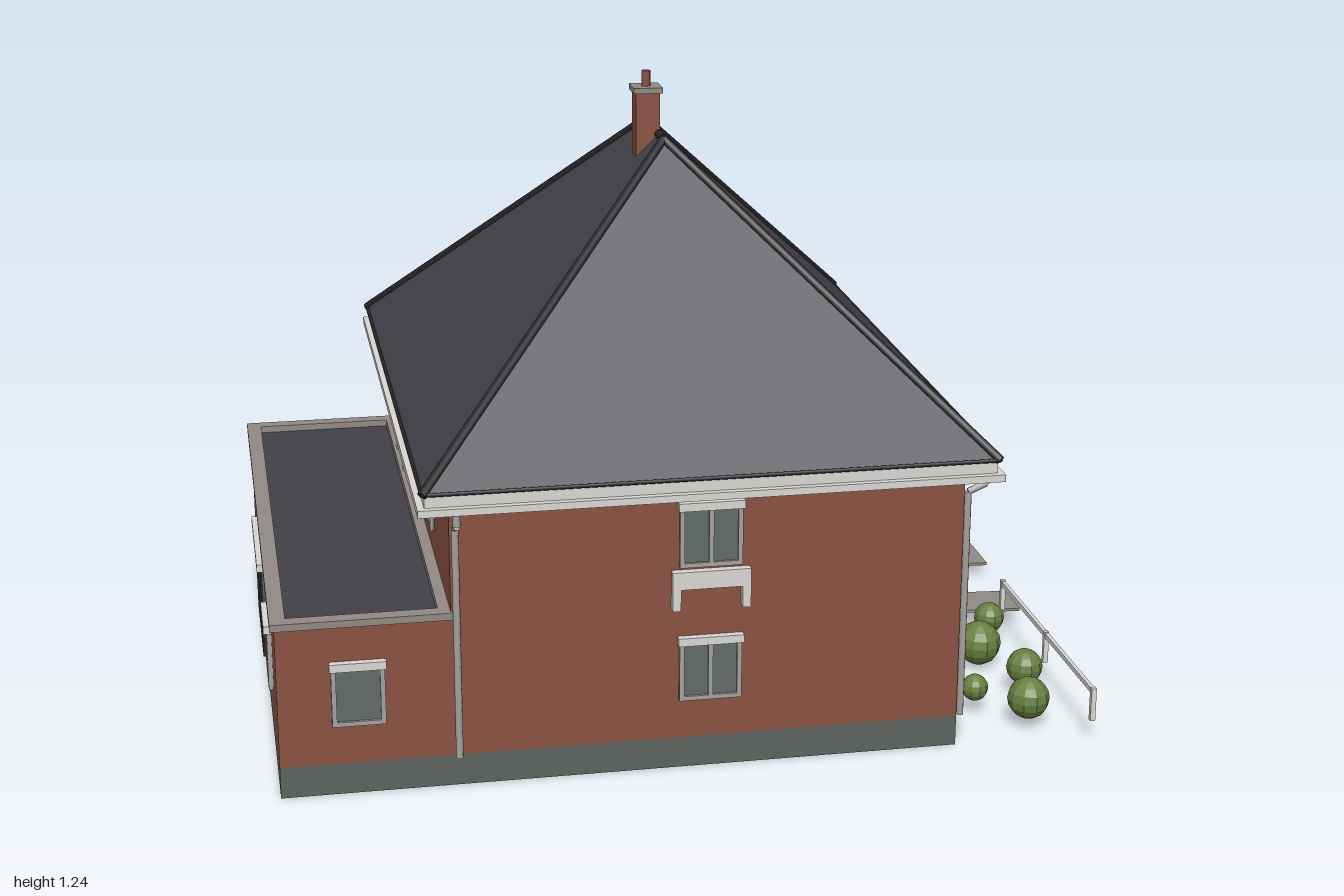
import * as THREE from 'three';

const mat = (name, color, extra = {}) => Object.assign(new THREE.MeshStandardMaterial({ color, ...extra }), { name });
const DS = { side: THREE.DoubleSide };

export function createModel() {
  const brick = mat('brick', 0x8b5242, DS), slate = mat('roof slate', 0x434148, DS);
  const dark = mat('dark trim', 0x252528), white = mat('white trim', 0xdad8d4);
  const stone = mat('plinth grey', 0x5f635f, DS), glass = mat('glass', 0x626b68);
  const paving = mat('paving', 0x928b85), green = mat('bush green', 0x66803f, { flatShading: true });
  const shutter = mat('shutter grey', 0xb5b2b0), frameGrey = mat('frame grey', 0xa5a39f);

  const root = new THREE.Group();
  root.name = 'house';
  // the building stands turned on its plot
  const house = new THREE.Group();
  house.name = 'building';
  house.rotation.y = -0.7296;
  house.position.set(0.01, 0, -0.022);
  root.add(house);

  const add = (parent, name, geo, material, x = 0, y = 0, z = 0) => {
    const m = new THREE.Mesh(geo, material);
    m.name = name;
    m.position.set(x, y, z);
    parent.add(m);
    return m;
  };
  const box = (parent, name, material, w, h, d, x, y, z) =>
    add(parent, name, new THREE.BoxGeometry(w, h, d), material, x, y, z);
  // rectangular band: outer half sizes, inward thickness, bottom and top
  const ring = (name, material, hw, hd, t, y0, y1, cz = 0) => {
    const rect = (C, a, b) => {
      const s = new C();
      s.moveTo(-a, -b); s.lineTo(a, -b); s.lineTo(a, b); s.lineTo(-a, b); s.closePath();
      return s;
    };
    const s = rect(THREE.Shape, hw, hd);
    s.holes.push(rect(THREE.Path, hw - t, hd - t));
    const g = new THREE.ExtrudeGeometry(s, { depth: y1 - y0, bevelEnabled: false }).rotateX(-Math.PI / 2);
    return add(house, name, g, material, 0, y0, cz);
  };
  const rod = (parent, name, material, a, b, r) => {
    const A = new THREE.Vector3(...a), B = new THREE.Vector3(...b), d = B.clone().sub(A);
    const m = add(parent, name, new THREE.CylinderGeometry(r, r, d.length(), 8), material);
    m.position.copy(A).add(B).multiplyScalar(0.5);
    m.quaternion.setFromUnitVectors(new THREE.Vector3(0, 1, 0), d.normalize());
    return m;
  };

  // walls: open shell on a plinth
  const W = 0.585, D = 0.49, E = 0.815;
  ring('plinth', stone, W, (D + E) / 2, 0.01, 0, 0.062, (E - D) / 2);
  ring('groundFloorWalls', brick, W, (D + E) / 2, 0.01, 0.062, 0.34, (E - D) / 2);
  ring('upperFloorWalls', brick, W, D, 0.01, 0.34, 0.57);

  // flat roof of the extension
  box(house, 'extensionRoof', slate, 2 * W - 0.01, 0.01, E - D, 0, 0.333, (D + E) / 2);
  ring('extensionCoping', paving, W + 0.008, (E - D) / 2 + 0.008, 0.03, 0.338, 0.352, (D + E) / 2);

  // eaves
  const RW = 0.634, RD = 0.542;
  ring('soffit', white, RW - 0.004, RD - 0.004, 0.06, 0.562, 0.57);
  ring('fascia', white, RW - 0.004, RD - 0.004, 0.01, 0.568, 0.6);
  ring('gutter', white, RW + 0.009, RD + 0.009, 0.014, 0.56, 0.574);

  // hipped roof
  const c = [[-RW, 0.6, -RD], [RW, 0.6, -RD], [RW, 0.6, RD], [-RW, 0.6, RD]];
  const r0 = [-0.1, 1.12, 0], r1 = [0.1, 1.12, 0];
  const tris = [c[3], c[2], r1, c[3], r1, r0, c[1], c[0], r0, c[1], r0, r1, c[2], c[1], r1, c[0], c[3], r0];
  const rg = new THREE.BufferGeometry();
  rg.setAttribute('position', new THREE.Float32BufferAttribute(tris.flat(), 3));
  rg.computeVertexNormals();
  add(house, 'roof', rg, slate);
  [[c[0], r0], [c[3], r0], [c[1], r1], [c[2], r1], [r0, r1]].forEach(([a, b]) =>
    rod(house, 'ridgeTiles', dark, a, b, 0.009));
  c.forEach((p, i) => rod(house, 'eavesEdge', dark, p, c[(i + 1) % 4], 0.004));

  // chimney
  box(house, 'chimney', brick, 0.048, 0.15, 0.048, 0.026, 1.13, 0.022);
  box(house, 'chimneyCap', paving, 0.058, 0.011, 0.058, 0.026, 1.208, 0.022);
  add(house, 'chimneyPot', new THREE.CylinderGeometry(0.009, 0.009, 0.032, 10), brick, 0.026, 1.228, 0.022);

  // downpipes with a bend under the gutter
  const pipe = (pts) => pts.slice(1).forEach((p, i) => rod(house, 'downpipe', frameGrey, pts[i], p, 0.007));
  pipe([[W + 0.045, 0.562, 0.48], [W + 0.045, 0.535, 0.48], [W + 0.01, 0.52, 0.48], [W + 0.01, 0.06, 0.48]]);
  pipe([[0.575, 0.562, -D - 0.045], [0.575, 0.535, -D - 0.045], [0.575, 0.52, -D - 0.01], [0.575, 0.06, -D - 0.01]]);

  // facades: groups whose +z points outwards
  const facade = (name, x, z, ry) => {
    const g = new THREE.Group();
    g.name = name;
    g.position.set(x, 0, z);
    g.rotation.y = ry;
    house.add(g);
    return g;
  };
  const gardenUpper = facade('gardenFacade', 0, D, 0), gardenLower = facade('extensionFacade', 0, E, 0);
  const sideA = facade('leftSideFacade', W, 0, Math.PI / 2), sideB = facade('rightSideFacade', -W, 0, -Math.PI / 2);
  const street = facade('streetFacade', 0, -D, Math.PI);

  // window: glass, frame, lintel, optional panes and bracketed sill
  const win = (f, x, y0, y1, w, { panes = 1, sill = 0, frame = frameGrey, lintel = 0.016 } = {}) => {
    const g = new THREE.Group();
    g.name = 'window';
    g.position.set(x, (y0 + y1) / 2, 0);
    f.add(g);
    const h = y1 - y0, t = 0.009;
    box(g, 'windowGlass', glass, w, h, 0.026, 0, 0, -0.009);
    for (const s of [-1, 1]) {
      box(g, 'windowFrameSide', frame, t, h, 0.012, s * (w - t) / 2, 0, 0.003);
      box(g, 'windowFrameRail', frame, w, t, 0.012, 0, s * (h - t) / 2, 0.003);
    }
    for (let i = 1; i < panes; i++) box(g, 'windowMullion', frame, t, h, 0.012, -w / 2 + w * i / panes, 0, 0.003);
    if (lintel) box(g, 'shutterBox', white, w + 0.006, lintel, 0.018, 0, h / 2 - lintel / 2 + 0.002, 0.006);
    if (sill) {
      box(g, 'sill', white, w + 0.03, sill, 0.016, 0, -h / 2 - 0.006 - sill / 2, 0.008);
      for (const s of [-1, 1])
        box(g, 'sillBracket', white, 0.016, 0.045, 0.016, s * (w + 0.014) / 2, -h / 2 - 0.006 - sill - 0.02, 0.008);
    }
  };

  // garden side
  win(gardenUpper, -0.286, 0.41, 0.535, 0.13, { panes: 2, sill: 0.008 });
  win(gardenUpper, 0.265, 0.41, 0.505, 0.095);
  win(gardenLower, -0.082, 0.062, 0.262, 0.28, { panes: 2, frame: dark });
  win(gardenLower, 0.342, 0.14, 0.27, 0.12, { panes: 2 });
  // narrow sides
  win(sideA, 0, 0.41, 0.538, 0.12, { panes: 2, sill: 0.035 });
  win(sideA, 0, 0.14, 0.268, 0.12, { panes: 2 });
  win(sideA, -0.665, 0.14, 0.266, 0.1);
  win(sideB, -0.125, 0.41, 0.538, 0.12, { panes: 2, sill: 0.03 });
  win(sideB, -0.125, 0.14, 0.268, 0.12, { panes: 2, sill: 0.03 });
  win(sideB, 0.678, 0.14, 0.266, 0.1, { sill: 0.02 });
  // street side
  win(street, -0.355, 0.41, 0.537, 0.18, { panes: 3, sill: 0.025 });
  win(street, 0.006, 0.41, 0.537, 0.112, { panes: 2, sill: 0.025 });
  win(street, 0.388, 0.41, 0.54, 0.216, { panes: 3, sill: 0.025 });
  box(street, 'rollerShutter', shutter, 0.21, 0.085, 0.014, 0.388, 0.495, 0.005);
  win(street, -0.355, 0.14, 0.27, 0.225, { panes: 4, sill: 0.02 });

  // entrance door with side light
  box(street, 'frontDoor', white, 0.09, 0.2, 0.03, 0, 0.165, -0.006);
  box(street, 'doorGlass', glass, 0.056, 0.075, 0.008, 0, 0.215, 0.008);
  box(street, 'doorPanel', shutter, 0.056, 0.075, 0.008, 0, 0.115, 0.008);
  box(street, 'sideLight', glass, 0.03, 0.2, 0.026, 0.062, 0.165, -0.007);
  box(street, 'sideLightFrame', white, 0.01, 0.2, 0.016, 0.082, 0.165, 0.002);
  box(street, 'doorStep', stone, 0.12, 0.02, 0.03, 0.01, 0.055, 0.015);

  // garage door and its canopy
  box(street, 'garageDoor', shutter, 0.23, 0.205, 0.026, 0.388, 0.14, -0.007);
  for (let i = 1; i < 5; i++) box(street, 'garageDoorGroove', frameGrey, 0.23, 0.003, 0.004, 0.388, 0.038 + i * 0.041, 0.006);
  box(street, 'garageLintel', frameGrey, 0.25, 0.012, 0.02, 0.38, 0.276, 0.008);

  // sloping driveway and path
  const slab = (name, x, w, len, y) => {
    const m = box(house, name, paving, w, 0.006, len, x, y, -D - len / 2);
    m.rotation.x = -0.035;
  };
  slab('driveway', -0.405, 0.285, 0.33, 0.031);
  slab('path', -0.015, 0.102, 0.31, 0.042);

  // front fence
  box(house, 'fenceRail', white, 0.58, 0.01, 0.008, 0.335, 0.107, -0.755);
  for (const x of [0.05, 0.335, 0.62]) box(house, 'fencePost', white, 0.01, 0.068, 0.01, x, 0.08, -0.755);

  // bushes: x, y, z, radius
  [[0.25, 0.06, -0.585, 0.032], [0.565, 0.058, -0.472, 0.032], [0.61, 0.051, -0.355, 0.046],
    [0.757, 0.06, -0.288, 0.037], [0.725, 0.055, -0.147, 0.027], [0.84, 0.06, -0.16, 0.042]]
    .forEach(([x, y, z, r]) => add(root, 'bush', new THREE.SphereGeometry(r, 10, 8), green, x, y, z));

  return root;
}
